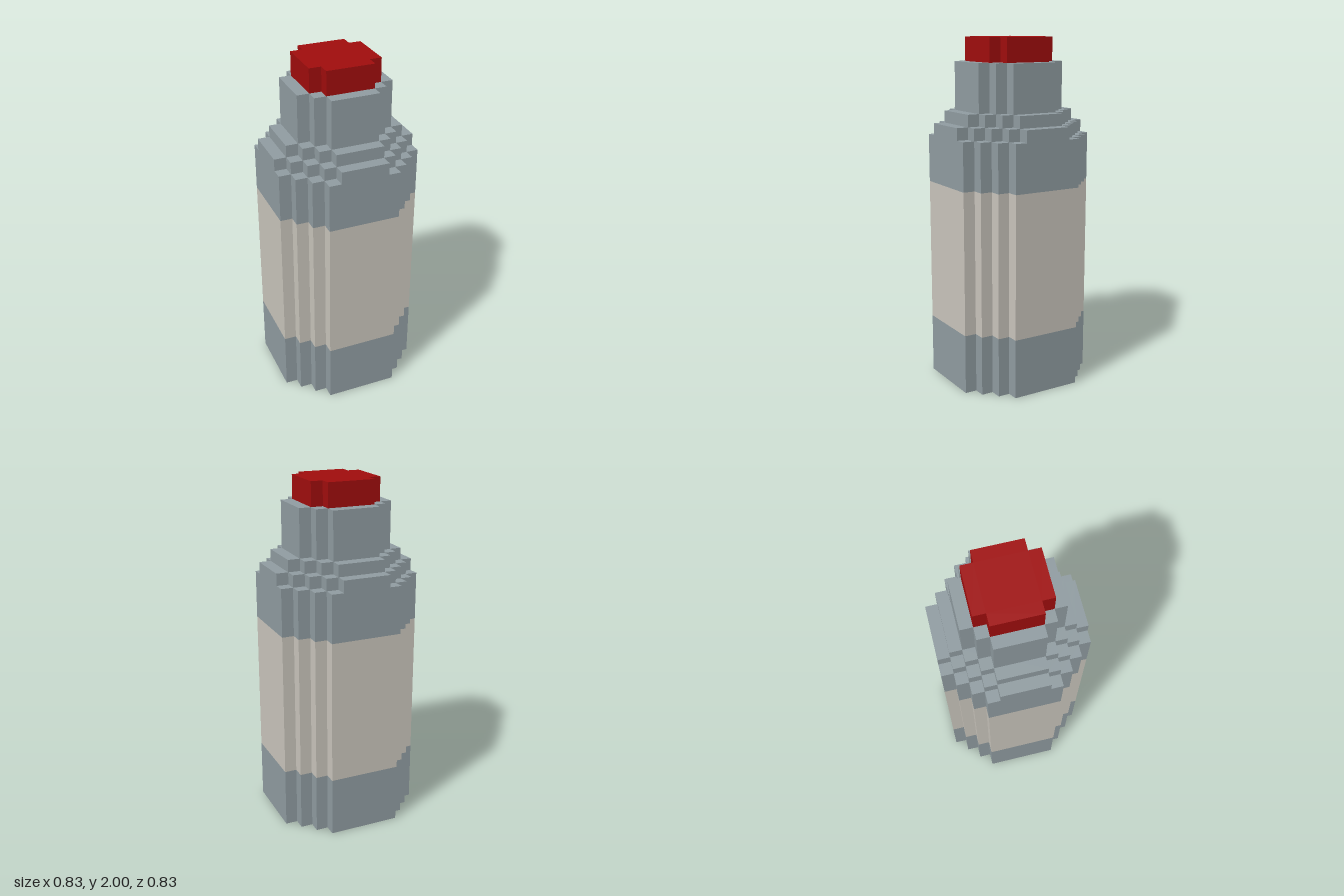
import * as THREE from 'three';

// The model is made of cubes: 29 of them make up its height.
const UNIT = 2 / 29;

// Stepped round outline: flat sides at +-half, each flat +-flat wide, stair corners one cube deep.
function steppedOutline(half, flat) {
  const quarter = [];
  for (let x = half, y = flat; x >= flat; x--, y++) {
    quarter.push([x, y]);
    if (x > flat) quarter.push([x - 1, y]);
  }
  const points = [];
  for (let turn = 0; turn < 4; turn++) {
    for (const [x, y] of quarter) {
      const [px, py] = [[x, y], [-y, x], [-x, -y], [y, -x]][turn];
      points.push(new THREE.Vector2(px * UNIT, py * UNIT));
    }
  }
  return new THREE.Shape(points);
}

export function createModel() {
  const material = (name, color) => {
    const m = new THREE.MeshStandardMaterial({ color, flatShading: true });
    m.name = name;
    return m;
  };
  const grey = material('blueGrey', 0x909ca1);
  const cream = material('cream', 0xc9c5bc);
  const red = material('red', 0xa00d0d);

  // name, bottom and top in cubes, half width, half width of the flat side, material
  const layers = [
    ['base', 0, 5, 6, 3, grey],
    ['label', 5, 17, 6, 3, cream],
    ['upperBody', 17, 21, 6, 3, grey],
    ['lowerShoulder', 21, 22, 6, 2, grey],
    ['upperShoulder', 22, 23, 5, 2, grey],
    ['neck', 23, 27, 4, 2, grey],
    ['cap', 27, 29, 3, 2, red],
  ];

  const group = new THREE.Group();
  group.name = 'bottle';
  for (const [name, bottom, top, half, flat, mat] of layers) {
    const geometry = new THREE.ExtrudeGeometry(steppedOutline(half, flat), {
      depth: (top - bottom) * UNIT,
      bevelEnabled: false,
    });
    geometry.rotateX(-Math.PI / 2);
    const mesh = new THREE.Mesh(geometry, mat);
    mesh.name = name;
    mesh.position.y = bottom * UNIT;
    group.add(mesh);
  }
  return group;
}
